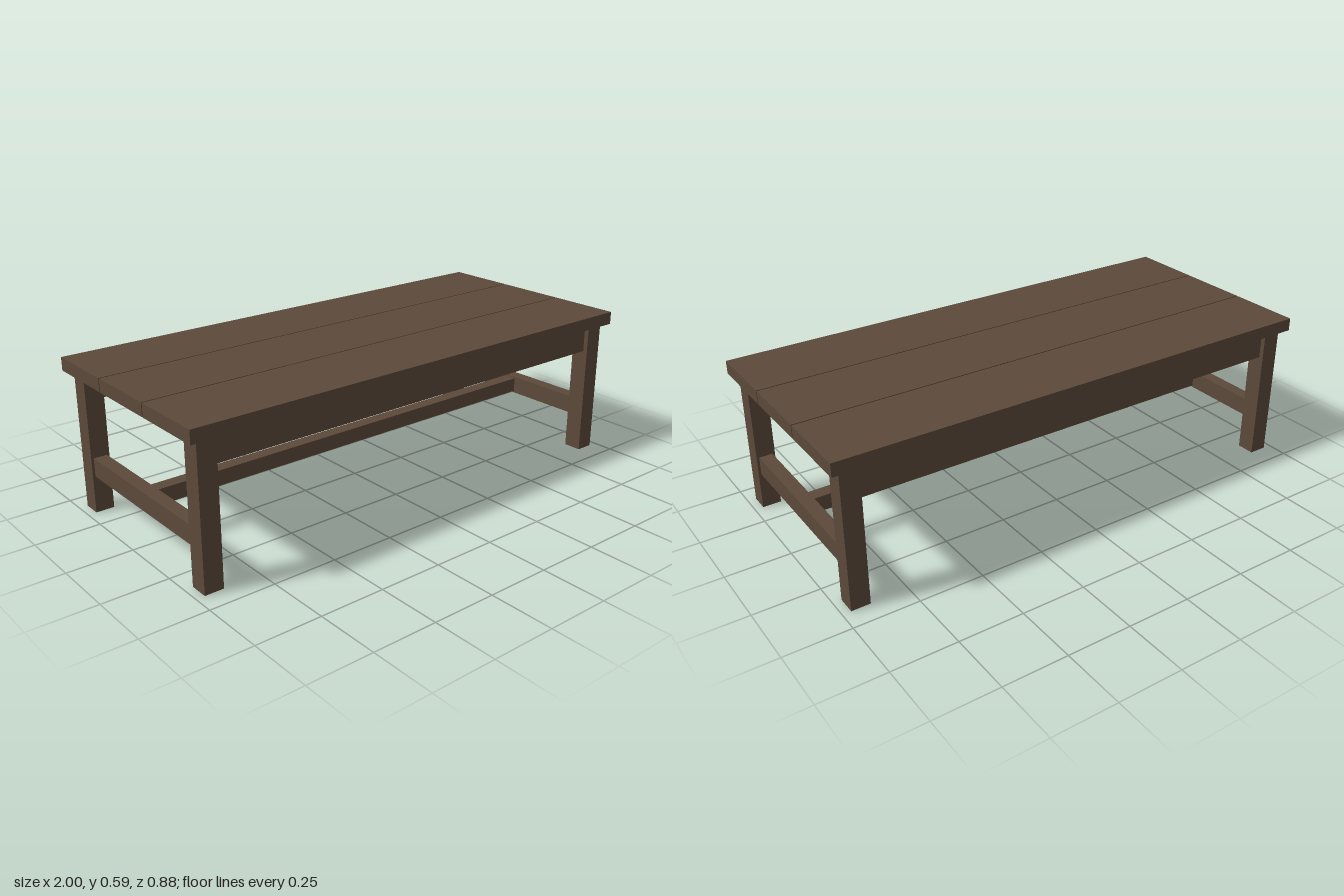
import * as THREE from 'three';

export function createModel() {
  const table = new THREE.Group();
  table.name = 'table';
  const wood = new THREE.MeshStandardMaterial({ color: 0x5c4a3a });
  wood.name = 'dark wood';

  // Adds a beam of size w, h, d with its underside at height y
  const beam = (name, w, h, d, x, y, z) => {
    const mesh = new THREE.Mesh(new THREE.BoxGeometry(w, h, d), wood);
    mesh.name = name;
    mesh.position.set(x, y + h / 2, z);
    table.add(mesh);
  };

  // Table top: three planks with narrow gaps
  for (const i of [-1, 0, 1]) beam('topPlank', 2, 0.051, 0.2915, 0, 0.543, i * 0.2965);

  for (const s of [-1, 1]) {
    // Legs, and the rail joining each end pair
    for (const t of [-1, 1]) beam('leg', 0.073, 0.543, 0.073, s * 0.9305, 0, t * 0.3815);
    beam('sideRail', 0.053, 0.073, 0.69, s * 0.9305, 0.145, 0);
    // Long aprons under the top
    beam('apron', 1.788, 0.107, 0.036, 0, 0.436, s * 0.3815);
  }

  // Central stretcher between the side rails
  beam('stretcher', 1.808, 0.06, 0.053, 0, 0.152, 0);
  return table;
}
